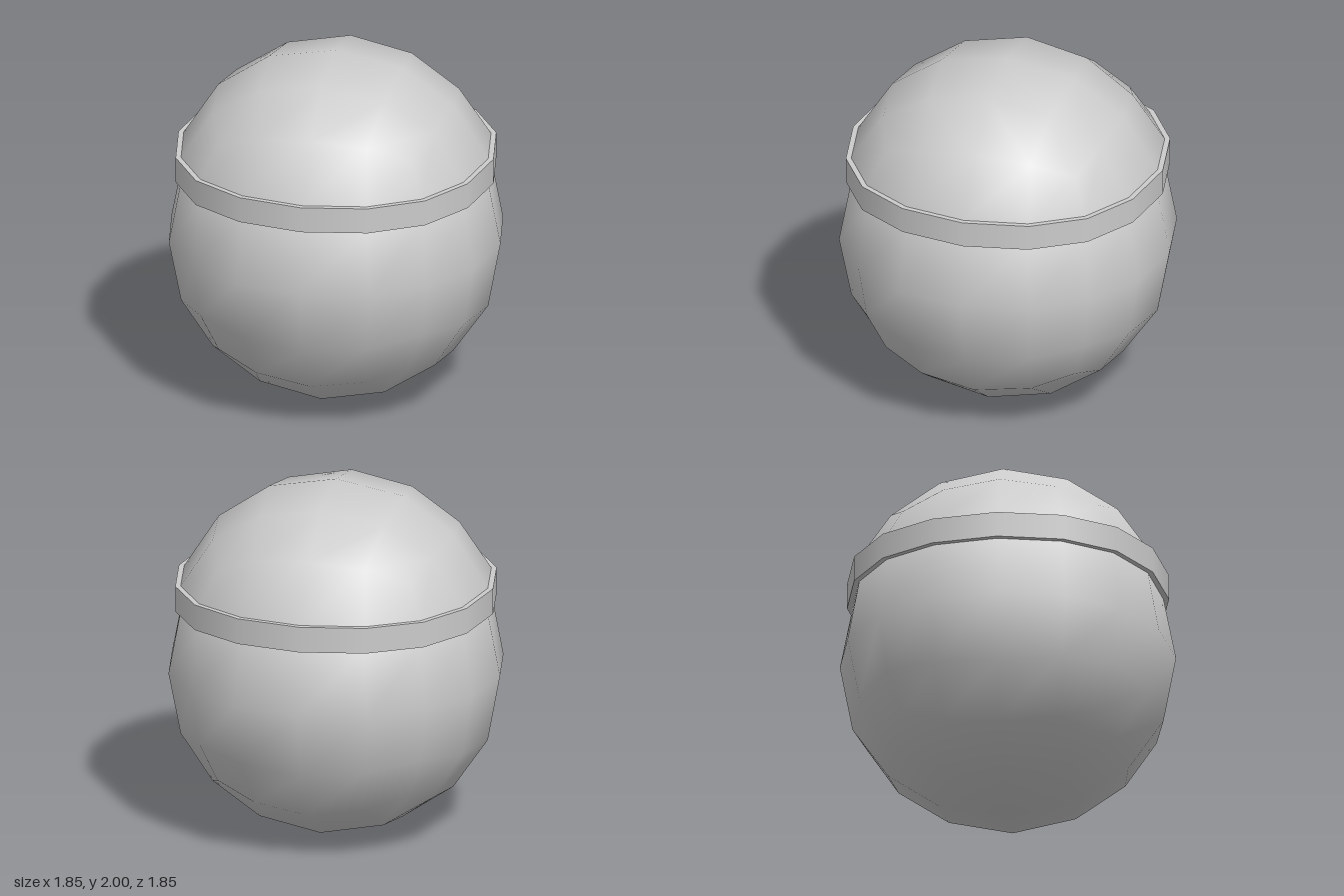
import * as THREE from 'three';

const RIM = 0.358;    // height of the cut above the ball's centre
const GAP = 0.146;    // height of the band
const CENTRE = 0.927; // centre of the lower ball

// Rounds a point of a 4 x 4 x 4 divided cube (coordinates 0, 0.5, 1) into the ball
function roundPoint(p) {
  const c = p.toArray();
  const ones = c.filter((v) => Math.abs(v) > 0.9).length;
  const halves = c.filter((v) => Math.abs(Math.abs(v) - 0.5) < 0.1).length;
  const inner = ones === 2 ? 0.5 : 0.44;
  const q = c.map((v) => (Math.abs(v) > 0.9 || Math.abs(v) < 0.1 ? v : Math.sign(v) * inner));
  const radius = ones === 1 && halves === 0 ? 0.927 : 0.937;
  const out = new THREE.Vector3(...q).setLength(radius);
  if (Math.abs(p.y - 0.5) < 0.1) out.y = RIM; // flat cut
  return out;
}

// Keeps the rounded faces above or below the cut
function shell(upper) {
  const box = new THREE.BoxGeometry(2, 2, 2, 4, 4, 4).toNonIndexed().getAttribute('position');
  const pos = [];
  const nor = [];
  for (let i = 0; i < box.count; i += 3) {
    const tri = [0, 1, 2].map((k) => new THREE.Vector3().fromBufferAttribute(box, i + k));
    const midY = (tri[0].y + tri[1].y + tri[2].y) / 3;
    if ((midY > 0.5) !== upper) continue;
    for (const v of tri) {
      const p = roundPoint(v);
      pos.push(...p.toArray());
      nor.push(...p.normalize().toArray());
    }
  }
  const geo = new THREE.BufferGeometry();
  geo.setAttribute('position', new THREE.Float32BufferAttribute(pos, 3));
  geo.setAttribute('normal', new THREE.Float32BufferAttribute(nor, 3));
  return geo;
}

// Ring around the cut, following its sixteen corners
function bandGeometry() {
  const loop = (offset) => Array.from({ length: 16 }, (_, k) => {
    const a = (k / 16) * Math.PI * 2;
    const s = Math.max(Math.abs(Math.cos(a)), Math.abs(Math.sin(a)));
    const snap = (v) => Math.round((v / s) * 2) / 2;
    const p = roundPoint(new THREE.Vector3(snap(Math.cos(a)), 0.5, snap(Math.sin(a))));
    const flat = new THREE.Vector2(p.x, p.z);
    return flat.setLength(flat.length() + offset);
  });
  const shape = new THREE.Shape(loop(0.03));
  shape.holes.push(new THREE.Path(loop(0)));
  const geo = new THREE.ExtrudeGeometry(shape, { depth: GAP, bevelEnabled: false });
  geo.rotateX(-Math.PI / 2);
  // Smooth the walls around the ring, leaving the rims sharp
  const p = geo.getAttribute('position');
  const n = geo.getAttribute('normal');
  for (let i = 0; i < p.count; i++) {
    if (Math.abs(n.getY(i)) > 0.5) continue;
    const r = Math.hypot(p.getX(i), p.getZ(i));
    const side = Math.sign(n.getX(i) * p.getX(i) + n.getZ(i) * p.getZ(i));
    n.setXYZ(i, (side * p.getX(i)) / r, 0, (side * p.getZ(i)) / r);
  }
  return geo;
}

export function createModel() {
  const group = new THREE.Group();
  const material = new THREE.MeshStandardMaterial({ color: 0xcccccc });
  const add = (name, geo, y) => {
    const mesh = new THREE.Mesh(geo, material);
    mesh.name = name;
    mesh.position.y = y;
    group.add(mesh);
  };
  add('lowerBody', shell(false), CENTRE);
  add('band', bandGeometry(), CENTRE + RIM);
  add('upperDome', shell(true), CENTRE + GAP);
  return group;
}
